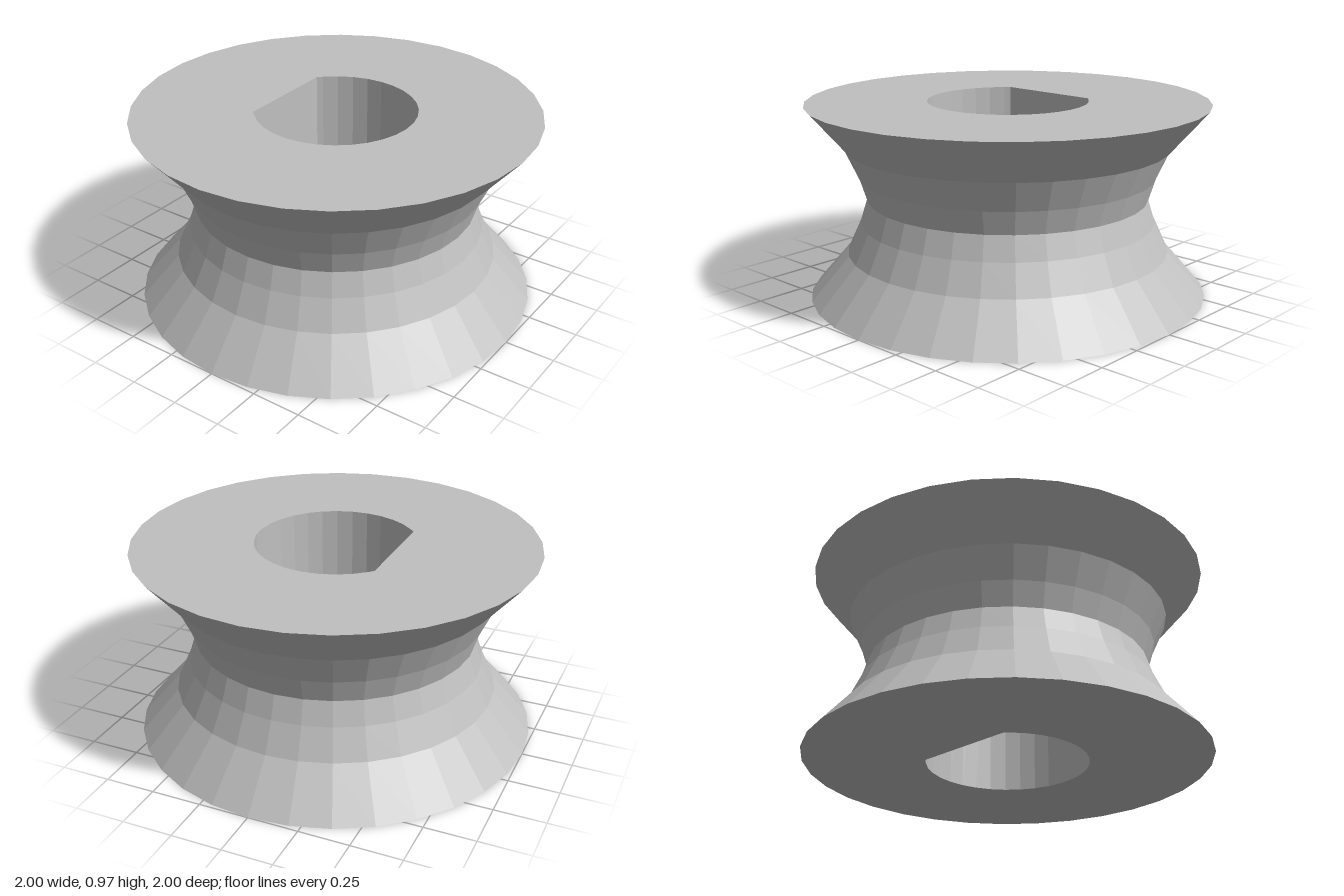
import * as THREE from 'three';

const SIDES = 32, HEIGHT = 0.97, BORE = 0.4, FLAT_Z = -0.305;

// Faceted normals for every face
function faceted(geometry) {
  const g = geometry.index ? geometry.toNonIndexed() : geometry;
  g.computeVertexNormals();
  return g;
}

// D-shaped bore outline as [x, z], running from one end of the flat round to the other
function boreOutline() {
  const end = Math.asin(-FLAT_Z / BORE), points = [];
  const at = (a) => points.push([BORE * Math.cos(a), BORE * Math.sin(a)]);
  at(-end);
  for (let i = 0; i <= SIDES; i++) {
    const a = -Math.PI / 2 + (i / SIDES) * Math.PI * 2;
    if (a > -end + 0.01 && a < Math.PI + end - 0.01) at(a);
  }
  at(Math.PI + end);
  return points;
}

// Flat ring with the D-shaped hole; facing is 1 for up, -1 for down
function capGeometry(outline, facing) {
  const rim = [];
  for (let i = 0; i < SIDES; i++) {
    const a = (i / SIDES) * Math.PI * 2;
    rim.push(new THREE.Vector2(Math.cos(a), Math.sin(a)));
  }
  const shape = new THREE.Shape(rim);
  shape.holes.push(new THREE.Path(outline.map(([x, z]) => new THREE.Vector2(x, -z * facing))));
  return new THREE.ShapeGeometry(shape).rotateX(-facing * Math.PI / 2);
}

// Wall of the bore, facing the axis
function boreGeometry(outline) {
  const positions = [];
  outline.forEach(([x0, z0], i) => {
    const [x1, z1] = outline[(i + 1) % outline.length];
    positions.push(
      x0, 0, z0, x1, 0, z1, x1, HEIGHT, z1,
      x0, 0, z0, x1, HEIGHT, z1, x0, HEIGHT, z0);
  });
  const g = new THREE.BufferGeometry();
  g.setAttribute('position', new THREE.Float32BufferAttribute(positions, 3));
  return g;
}

export function createModel() {
  const group = new THREE.Group();
  group.name = 'groovedRoller';
  const grey = new THREE.MeshStandardMaterial({ color: 0xc0c0c0 });
  grey.name = 'grey';
  const add = (name, geometry) => {
    const mesh = new THREE.Mesh(faceted(geometry), grey);
    mesh.name = name;
    group.add(mesh);
    return mesh;
  };

  // Waisted outer surface, mirrored about mid height
  const half = [[1, 0], [0.81, 0.22], [0.742, 0.368]];
  const profile = [
    ...half,
    [0.705, HEIGHT / 2],
    ...half.map(([r, y]) => [r, HEIGHT - y]).reverse(),
  ].map(([r, y]) => new THREE.Vector2(r, y));
  add('groove', new THREE.LatheGeometry(profile, SIDES));

  // End faces and bore
  const outline = boreOutline();
  add('topFace', capGeometry(outline, 1)).position.y = HEIGHT;
  add('bottomFace', capGeometry(outline, -1));
  add('bore', boreGeometry(outline));
  return group;
}
